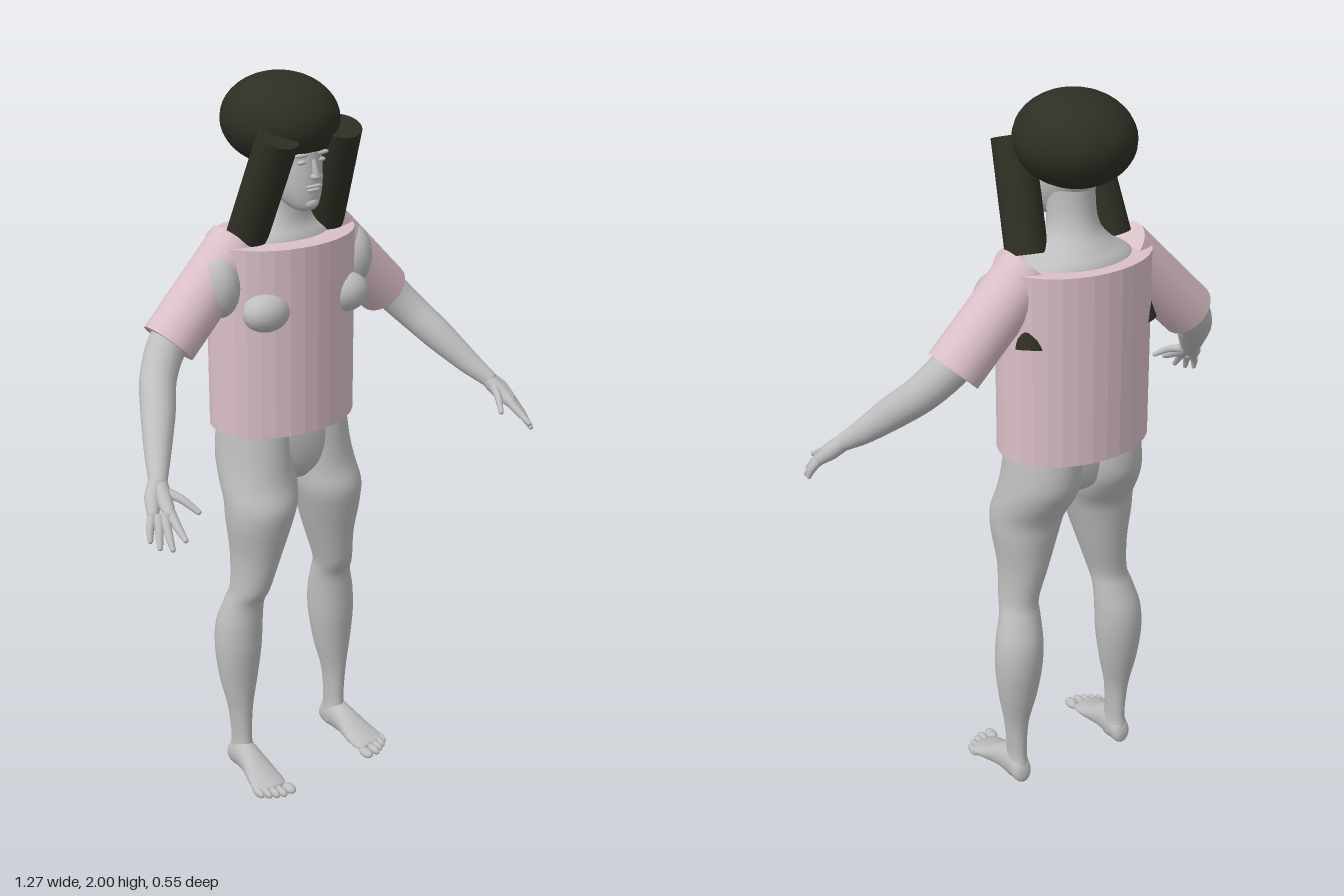
import * as THREE from 'three';

const material = (name, color) => {
  const m = new THREE.MeshStandardMaterial({ color });
  m.name = name;
  return m;
};

// Smooth elliptical loft along 'y' or 'z'; section = [t, xMin, xMax, otherMin, otherMax], t ascending
function loft(sections, axis, side = 1, steps = 4, n = 28) {
  const mirrored = sections.map(([t, a, b, c, d]) => (side > 0 ? [t, a, b, c, d] : [t, -b, -a, c, d]));
  const spline = (f) => new THREE.CatmullRomCurve3(mirrored.map(f), false, 'catmullrom');
  const first = spline((s) => new THREE.Vector3(s[0], s[1], s[2]));
  const second = spline((s) => new THREE.Vector3(s[3], s[4], 0));
  const rows = (sections.length - 1) * steps;
  const pos = [], idx = [];
  const add = (x, t, o) => (axis === 'y' ? pos.push(x, t, o) : pos.push(x, o, t));
  const tri = (a, b, c) => (axis === 'y' ? idx.push(a, c, b) : idx.push(a, b, c));
  const centres = [];
  for (let j = 0; j <= rows; j++) {
    const p = first.getPoint(j / rows), q = second.getPoint(j / rows);
    const cx = (p.y + p.z) / 2, co = (q.x + q.y) / 2;
    centres.push([cx, p.x, co]);
    for (let i = 0; i < n; i++) {
      const a = (i / n) * Math.PI * 2;
      add(cx + Math.cos(a) * (p.z - p.y) / 2, p.x, co + Math.sin(a) * (q.y - q.x) / 2);
    }
  }
  add(...centres[0]);
  add(...centres[rows]);
  const c0 = (rows + 1) * n, c1 = c0 + 1;
  for (let i = 0; i < n; i++) {
    const k = (i + 1) % n;
    for (let j = 0; j < rows; j++) {
      const p = j * n + i, q = j * n + k;
      tri(p, q, p + n);
      tri(q, q + n, p + n);
    }
    tri(c0, k, i);
    tri(c1, rows * n + i, rows * n + k);
  }
  const g = new THREE.BufferGeometry();
  g.setAttribute('position', new THREE.Float32BufferAttribute(pos, 3));
  g.setIndex(idx);
  g.computeVertexNormals();
  return g;
}

// Tube whose radius follows the fourth number of each point
function taperedTube(points, segments = 20, radial = 16) {
  const curve = new THREE.CatmullRomCurve3(points.map((p) => new THREE.Vector3(p[0], p[1], p[2])));
  const g = new THREE.TubeGeometry(curve, segments, 1, radial);
  const pos = g.attributes.position, v = new THREE.Vector3();
  for (let j = 0; j <= segments; j++) {
    const c = curve.getPointAt(j / segments);
    const t = curve.getUtoTmapping(j / segments) * (points.length - 1);
    const k = Math.min(Math.floor(t), points.length - 2);
    const r = THREE.MathUtils.lerp(points[k][3], points[k + 1][3], t - k);
    for (let i = 0; i <= radial; i++) {
      const id = j * (radial + 1) + i;
      v.fromBufferAttribute(pos, id).sub(c).multiplyScalar(r).add(c);
      pos.setXYZ(id, v.x, v.y, v.z);
    }
  }
  return g;
}

// Capped cylinder between two points
function bar(a, b, r, n = 24) {
  const from = new THREE.Vector3(...a), to = new THREE.Vector3(...b);
  const dir = to.clone().sub(from);
  const g = new THREE.CylinderGeometry(r, r, dir.length(), n);
  g.applyQuaternion(new THREE.Quaternion().setFromUnitVectors(new THREE.Vector3(0, 1, 0), dir.normalize()));
  return g.translate(...from.add(to).multiplyScalar(0.5).toArray());
}

const ball = (c, r, w = 20, h = 14) => new THREE.SphereGeometry(1, w, h).scale(...r).translate(...c);

export function createModel() {
  const model = new THREE.Group();
  const skin = material('grey skin', 0xbebebe);
  const cloth = material('pink cloth', 0xdabfc7);
  const hair = material('dark hair', 0x2e2e24);
  const add = (name, geometry, mat) => {
    const m = new THREE.Mesh(geometry, mat);
    m.name = name;
    model.add(m);
  };

  // Shirt body, faceted and capped
  const shirt = new THREE.CylinderGeometry(0.213, 0.213, 0.515, 32).toNonIndexed();
  shirt.computeVertexNormals();
  add('shirtBody', shirt.scale(1, 1, 0.75).translate(0, 1.328, -0.11), cloth);

  // Pelvis, neck and head
  add('pelvis', loft([[0.91, -0.06, 0.06, -0.12, -0.02], [0.95, -0.13, 0.13, -0.18, 0.005],
    [1.02, -0.185, 0.185, -0.2, 0.012], [1.12, -0.18, 0.18, -0.2, 0.005]], 'y'), skin);
  add('neck', loft([[1.5, -0.18, 0.18, -0.24, 0.0], [1.58, -0.155, 0.155, -0.235, -0.01],
    [1.62, -0.1, 0.1, -0.205, -0.03], [1.66, -0.068, 0.068, -0.175, -0.035],
    [1.72, -0.06, 0.06, -0.16, -0.03], [1.82, -0.06, 0.06, -0.16, -0.03]], 'y'), skin);
  add('head', loft([[1.667, -0.02, 0.02, -0.03, 0.012], [1.675, -0.035, 0.035, -0.06, 0.025],
    [1.7, -0.053, 0.053, -0.1, 0.031], [1.74, -0.066, 0.066, -0.14, 0.033],
    [1.79, -0.071, 0.071, -0.18, 0.031], [1.84, -0.074, 0.074, -0.19, 0.025],
    [1.9, -0.06, 0.06, -0.18, 0.0]], 'y'), skin);
  add('nose', taperedTube([[0, 1.803, 0.029, 0.006], [0, 1.78, 0.036, 0.008], [0, 1.762, 0.04, 0.011]], 8, 12), skin);
  add('noseTip', ball([0, 1.761, 0.039], [0.015, 0.009, 0.012]), skin);
  add('upperLip', ball([0, 1.735, 0.03], [0.024, 0.005, 0.009]), skin);
  add('lowerLip', ball([0, 1.725, 0.03], [0.02, 0.006, 0.008]), skin);
  add('chin', ball([0, 1.689, 0.018], [0.022, 0.016, 0.017]), skin);

  // Cap of hair
  add('hairCap', ball([0, 1.882, -0.11], [0.15, 0.118, 0.162], 32, 20), hair);

  for (const s of [1, -1]) {
    const side = s > 0 ? 'left' : 'right';
    const at = (p) => [p[0] * s, ...p.slice(1)];
    const part = (name, g, mat = skin) => add(side + name, g, mat);
    const tube = (name, pts, seg, rad) => {
      part(name, taperedTube(pts.map(at), seg, rad));
      const e = pts[pts.length - 1];
      part(name + 'End', ball(at(e.slice(0, 3)), [e[3], e[3], e[3]], 12, 8));
    };

    // Face details, hair locks and sleeve
    part('Eye', ball(at([0.03, 1.797, 0.02]), [0.014, 0.006, 0.008]));
    part('Brow', ball(at([0.03, 1.815, 0.02]), [0.025, 0.006, 0.009]));
    part('FrontLock', bar(at([0.1, 1.87, 0.015]), at([0.125, 1.6, -0.088]), 0.054), hair);
    part('BackLock', bar(at([0.13, 1.53, -0.13]), at([0.165, 1.385, -0.175]), 0.042), hair);
    part('Sleeve', bar(at([0.137, 1.577, -0.115]), at([0.357, 1.352, -0.115]), 0.075), cloth);

    // Chest forms
    part('Chest', ball(at([0.13, 1.42, 0]), [0.068, 0.053, 0.053]));
    part('FrontShoulder', ball(at([0.218, 1.485, -0.085]), [0.055, 0.085, 0.062]));

    // Arm and hand
    tube('Arm', [[0.25, 1.46, -0.115, 0.056], [0.36, 1.36, -0.108, 0.052], [0.42, 1.29, -0.07, 0.048],
      [0.47, 1.22, 0, 0.044], [0.52, 1.15, 0.07, 0.033], [0.555, 1.105, 0.122, 0.023]], 30, 20);
    tube('PalmInner', [[0.552, 1.105, 0.12, 0.021], [0.563, 1.08, 0.155, 0.022], [0.572, 1.053, 0.195, 0.015]], 8);
    tube('PalmOuter', [[0.558, 1.105, 0.118, 0.021], [0.583, 1.078, 0.14, 0.022], [0.601, 1.05, 0.165, 0.015]], 8);
    const fingers = [
      ['IndexFinger', [0.569, 1.055, 0.195], [0.574, 1.03, 0.235], [0.576, 1.012, 0.268]],
      ['MiddleFinger', [0.582, 1.052, 0.187], [0.595, 1.017, 0.223], [0.602, 0.988, 0.25]],
      ['RingFinger', [0.593, 1.05, 0.178], [0.61, 1.015, 0.205], [0.62, 0.986, 0.222]],
      ['LittleFinger', [0.602, 1.05, 0.165], [0.62, 1.02, 0.18], [0.627, 0.995, 0.19]],
      ['Thumb', [0.555, 1.09, 0.14], [0.532, 1.078, 0.185], [0.508, 1.05, 0.225]],
    ];
    for (const [name, a, b, c] of fingers) tube(name, [[...a, 0.013], [...b, 0.0105], [...c, 0.007]], 8, 10);

    // Leg
    part('Leg', loft([
      [0.02, 0.142, 0.2, -0.13, -0.04], [0.06, 0.142, 0.2, -0.13, -0.04], [0.1, 0.145, 0.195, -0.125, -0.05],
      [0.2, 0.138, 0.205, -0.13, -0.05], [0.3, 0.115, 0.225, -0.15, -0.045], [0.4, 0.1, 0.235, -0.165, -0.036],
      [0.48, 0.097, 0.23, -0.163, -0.034], [0.55, 0.097, 0.212, -0.142, -0.03], [0.6, 0.092, 0.2, -0.13, -0.005],
      [0.7, 0.06, 0.197, -0.142, 0.015], [0.8, 0.028, 0.21, -0.155, 0.038], [0.86, 0.01, 0.212, -0.165, 0.044],
      [0.92, -0.003, 0.207, -0.2, 0.025], [0.98, -0.005, 0.198, -0.228, 0.016], [1.06, -0.005, 0.188, -0.23, 0.01],
      [1.12, -0.005, 0.18, -0.22, 0.005]], 'y', s));

    // Foot and toes
    part('Foot', loft([
      [-0.135, 0.158, 0.184, 0.015, 0.045], [-0.122, 0.145, 0.198, 0.002, 0.075], [-0.08, 0.14, 0.204, 0, 0.1],
      [-0.03, 0.138, 0.212, 0.002, 0.085], [0.02, 0.132, 0.226, 0, 0.055], [0.06, 0.132, 0.234, 0, 0.035],
      [0.085, 0.14, 0.226, 0.003, 0.024]], 'z', s));
    [[0.143, 0.113, 0.016], [0.171, 0.112, 0.011], [0.19, 0.103, 0.011], [0.209, 0.092, 0.01], [0.226, 0.077, 0.01]]
      .forEach(([x, z, r], i) => part('Toe' + (i + 1), ball(at([x, 0.013, z - 0.01]), [r, 0.013, 0.026], 12, 8)));
  }
  return model;
}
